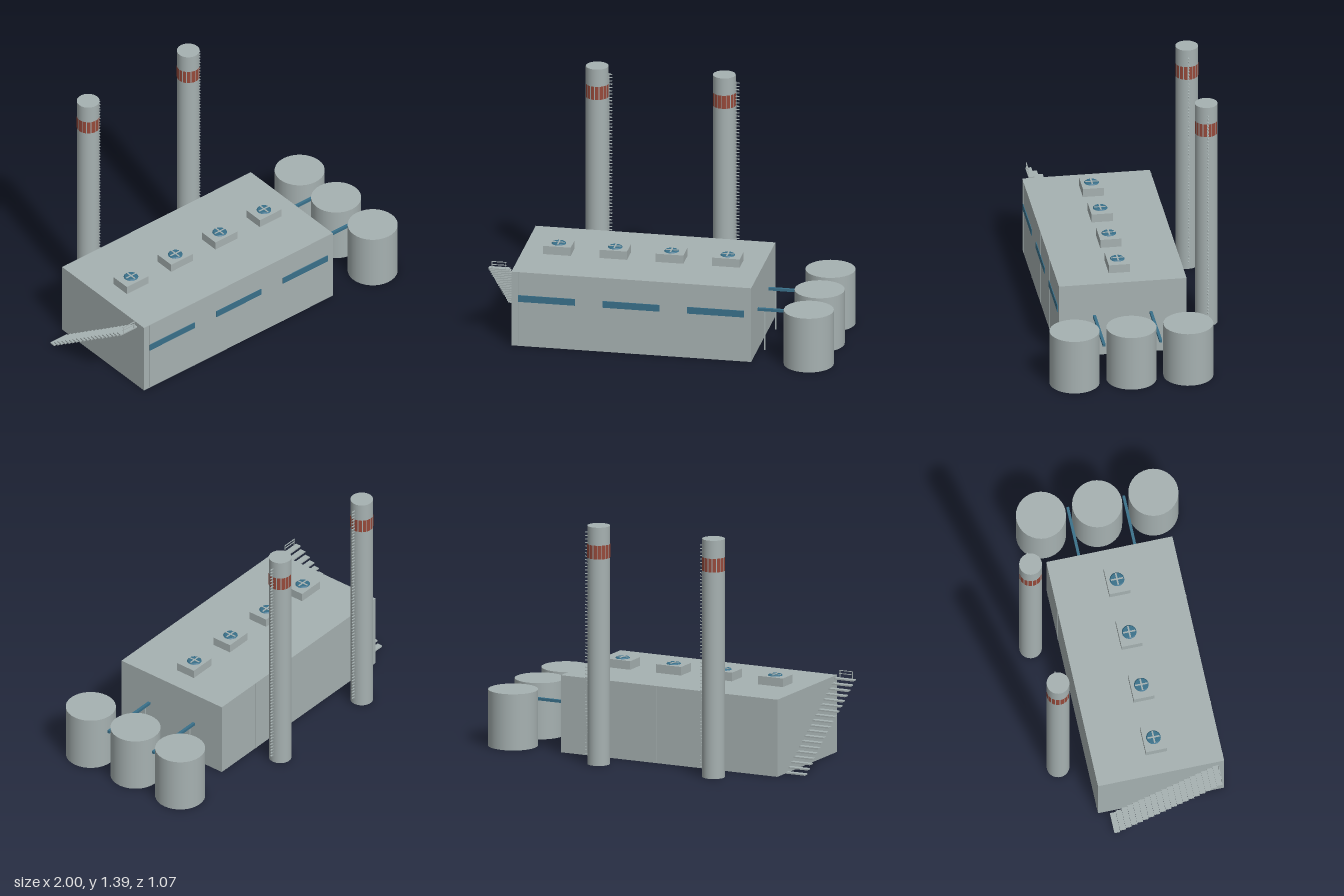
import * as THREE from 'three';

export function createModel() {
  const root = new THREE.Group();
  const concrete = new THREE.MeshStandardMaterial({ color: 0xa6b1b1 });
  concrete.name = 'concrete grey';
  const blue = new THREE.MeshStandardMaterial({ color: 0x39708a });
  blue.name = 'steel blue';
  const red = new THREE.MeshStandardMaterial({ color: 0x96493a });
  red.name = 'warning red';

  const add = (parent, name, geometry, material, x, y, z) => {
    const mesh = new THREE.Mesh(geometry, material);
    mesh.name = name;
    mesh.position.set(x, y, z);
    parent.add(mesh);
    return mesh;
  };
  const box = (parent, name, w, h, d, material, x, y, z) =>
    add(parent, name, new THREE.BoxGeometry(w, h, d), material, x, y, z);
  const group = (name, x = 0, y = 0, z = 0) => {
    const g = new THREE.Group();
    g.name = name;
    g.position.set(x, y, z);
    root.add(g);
    return g;
  };

  // Main hall with wall joints and window strips
  const hall = group('hall');
  box(hall, 'hallBody', 1.39, 0.45, 0.735, concrete, -0.165, 0.225, 0.0625);
  for (const x of [-0.82, -0.49, -0.163, 0.163]) {
    box(hall, 'frontWallJoint', 0.006, 0.45, 0.002, concrete, x, 0.225, 0.4305);
  }
  for (const x of [-0.82, -0.08, 0.22, 0.48]) {
    box(hall, 'backWallJoint', 0.006, 0.45, 0.002, concrete, x, 0.225, -0.3055);
  }
  for (const x of [-0.655, -0.165, 0.325]) {
    box(hall, 'windowStrip', 0.33, 0.04, 0.006, blue, x, 0.29, 0.431);
  }

  // Roof vents, each with a fan behind a cross bar
  for (let i = 0; i < 4; i++) {
    const vent = group('roofVent', -0.655 + i * 0.3265, 0.45, 0.0625);
    box(vent, 'ventBox', 0.16, 0.05, 0.122, concrete, 0, 0.025, 0);
    add(vent, 'fan', new THREE.CylinderGeometry(0.036, 0.042, 0.006, 20), blue, 0, 0.053, 0);
    box(vent, 'fanBarX', 0.072, 0.002, 0.009, concrete, 0, 0.0565, 0);
    box(vent, 'fanBarZ', 0.009, 0.002, 0.072, concrete, 0, 0.0565, 0);
  }

  // Chimneys with striped bands and side ladders
  for (const x of [-0.535, 0.2025]) {
    const chimney = group('chimney', x, 0, -0.4675);
    add(chimney, 'stack', new THREE.CylinderGeometry(0.065, 0.065, 1.39, 32), concrete, 0, 0.695, 0);
    const stripes = 16;
    for (let i = 0; i < stripes; i++) {
      const start = (i / stripes) * Math.PI * 2;
      const width = (Math.PI * 2 / stripes) * 0.8;
      add(chimney, 'bandStripe',
        new THREE.CylinderGeometry(0.0658, 0.0658, 0.08, 3, 1, true, start, width), red, 0, 1.245, 0);
    }
    box(chimney, 'ladderRail', 0.003, 1.31, 0.006, concrete, 0.069, 0.695, 0);
    for (let i = 0; i < 65; i++) {
      box(chimney, 'ladderRung', 0.027, 0.004, 0.007, concrete, 0.0735, 0.05 + i * 0.0202, 0);
    }
  }

  // Storage tanks
  for (const z of [-0.265, 0.0625, 0.39]) {
    add(root, 'storageTank', new THREE.CylinderGeometry(0.143, 0.143, 0.328, 32), concrete, 0.857, 0.164, z);
  }

  // Pipes from the hall between the tanks, on thin posts
  for (const z of [-0.1, 0.226]) {
    box(root, 'pipe', 0.37, 0.016, 0.016, blue, 0.715, 0.246, z);
    box(root, 'pipePost', 0.007, 0.238, 0.007, concrete, 0.57, 0.119, z);
  }

  // Outside stair climbing towards the front
  const stair = group('stair', -0.94, 0, 0);
  const steps = 19;
  for (let i = 0; i < steps; i++) {
    const t = i / (steps - 1);
    box(stair, 'tread', 0.122, 0.008, 0.034, concrete, 0, 0.012 + t * 0.431, -0.223 + t * 0.597);
  }
  // Guard rail at the stair head
  for (const x of [-0.04, 0.04]) {
    box(stair, 'railPost', 0.004, 0.043, 0.004, concrete, x, 0.468, 0.389);
  }
  for (const y of [0.47, 0.488]) {
    box(stair, 'railBar', 0.088, 0.004, 0.004, concrete, 0, y, 0.389);
  }

  return root;
}
